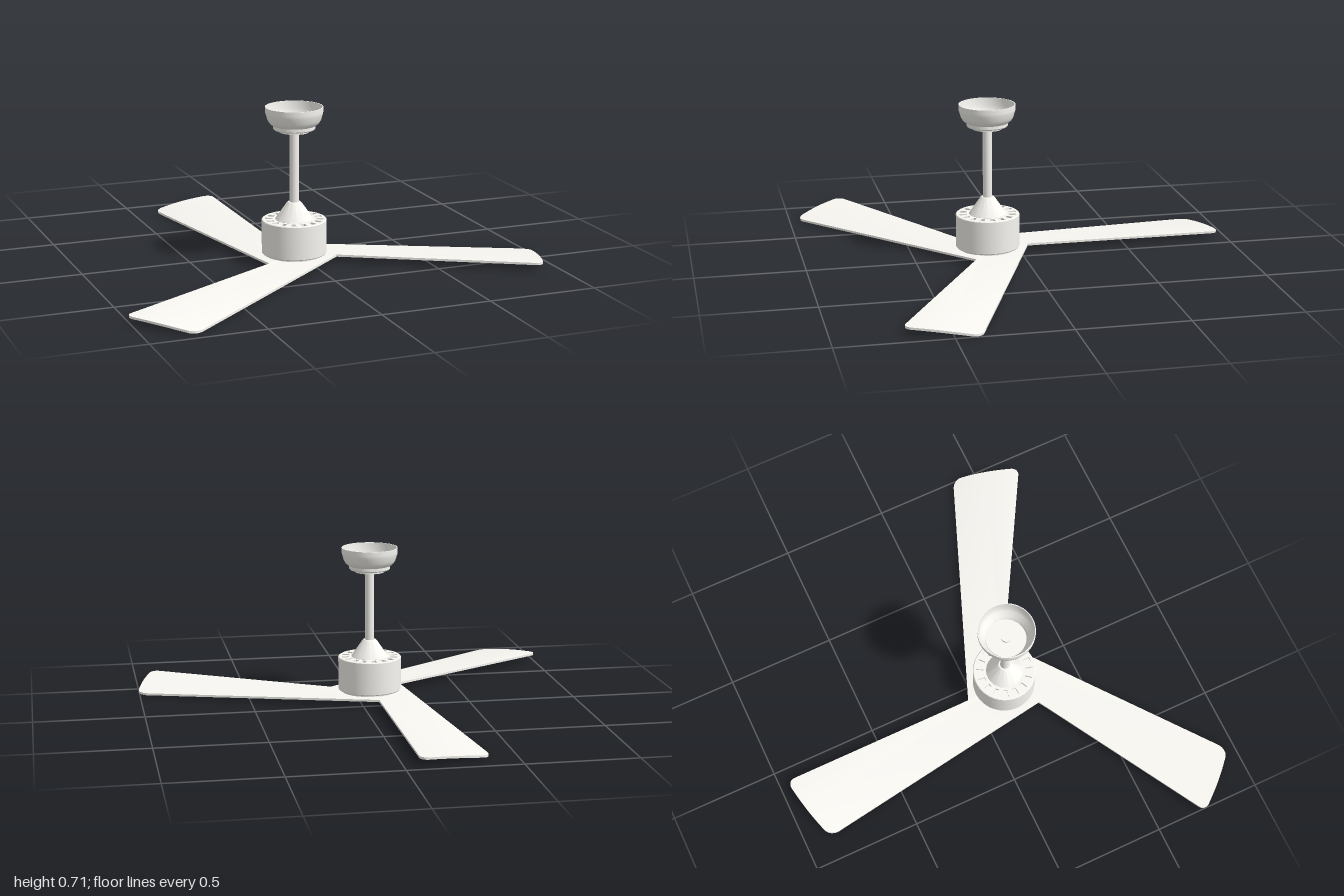
import * as THREE from 'three';
import { toCreasedNormals } from 'three/addons/utils/BufferGeometryUtils.js';

const material = new THREE.MeshStandardMaterial({ color: 0xf8f7f2 });
const lerp = THREE.MathUtils.lerp;

function mesh(name, geometry) {
  const m = new THREE.Mesh(geometry, material);
  m.name = name;
  return m;
}

// Round part from [radius, height] points, listed from the bottom outside upward
function turned(name, points) {
  const lathe = new THREE.LatheGeometry(points.map(p => new THREE.Vector2(...p)), 64);
  return mesh(name, toCreasedNormals(lathe, 0.6));
}

// Blade: a box grid warped into a tapered plan whose left edge droops toward the tip
function bladeGeometry() {
  const rootL = [-0.16, 0.105], rootR = [-0.011, -0.191];
  const tipL = [-0.33, -1.04], tipR = [-0.012, -1.118];
  const round = 0.04, width = 0.33, thickness = 0.01;
  const g = new THREE.BoxGeometry(1, 1, 1, 40, 1, 24);
  const p = g.attributes.position;
  for (let i = 0; i < p.count; i++) {
    // t runs across the blade (dense at the edges), s runs from hub to tip
    const t = 0.5 + 0.5 * Math.sin(p.getX(i) * Math.PI);
    let s = 0.5 - p.getZ(i);
    // rounded tip corners and slightly bowed tip
    const inset = Math.max(0, 1 - Math.min(t, 1 - t) * width / round);
    const end = 1 - round * (1 - Math.sqrt(1 - inset * inset)) + 0.035 * t * (1 - t);
    s *= end;
    // the root is a third of the hub: left corner, centre, right corner
    const k = Math.abs(1 - 2 * t), corner = t < 0.5 ? rootL : rootR;
    const x = lerp(corner[0] * k, lerp(tipL[0], tipR[0], t), s);
    const z = lerp(corner[1] * k, lerp(tipL[1], tipR[1], t), s);
    const droop = 0.028 * s * Math.pow(1 - t, 1.8);
    p.setXYZ(i, x, 0.032 + p.getY(i) * thickness - droop, z);
  }
  g.computeVertexNormals();
  return g;
}

// Ring with radial slots for the top of the motor
function ventGeometry() {
  const shape = new THREE.Shape().absarc(0, 0, 0.14, 0, Math.PI * 2);
  shape.holes.push(new THREE.Path().absarc(0, 0, 0.075, 0, Math.PI * 2, true));
  const slots = 16;
  for (let i = 0; i < slots; i++) {
    const a = i / slots * Math.PI * 2, h = 0.09;
    const slot = new THREE.Path();
    slot.absarc(0, 0, 0.131, a - h, a + h, false);
    slot.absarc(0, 0, 0.098, a + h, a - h, true);
    slot.closePath();
    shape.holes.push(slot);
  }
  const g = new THREE.ExtrudeGeometry(shape, { depth: 0.012, bevelEnabled: false, curveSegments: 24 });
  return g.rotateX(-Math.PI / 2).translate(0, 0.188, 0);
}

export function createModel() {
  const fan = new THREE.Group();
  fan.name = 'ceilingFan';

  // Three blades meeting under the motor
  const blade = bladeGeometry();
  for (let i = 0; i < 3; i++) {
    const b = mesh('blade' + (i + 1), blade);
    b.rotation.y = i * Math.PI * 2 / 3;
    fan.add(b);
  }

  // Motor: neck above the blades, drum, open rim with a floor below the vents
  fan.add(turned('motorHousing', [
    [0, 0.033], [0.13, 0.033], [0.13, 0.044], [0.143, 0.044], [0.146, 0.048],
    [0.146, 0.197], [0.143, 0.2], [0.138, 0.2], [0.138, 0.172], [0, 0.172],
  ]));
  fan.add(mesh('motorVents', ventGeometry()));

  // Cone and hanging rod
  fan.add(turned('rodCone', [
    [0.085, 0.18], [0.085, 0.201], [0.08, 0.208], [0.036, 0.272], [0.028, 0.28], [0, 0.28],
  ]));
  const rod = mesh('downRod', new THREE.CylinderGeometry(0.021, 0.021, 0.36, 32));
  rod.position.y = 0.45;
  fan.add(rod);

  // Hollow ceiling cup, open at the top
  fan.add(turned('ceilingCanopy', [
    [0, 0.6], [0.068, 0.6], [0.068, 0.609], [0.09, 0.611], [0.094, 0.616], [0.094, 0.63],
    [0.1, 0.632], [0.112, 0.643], [0.12, 0.657], [0.124, 0.673], [0.128, 0.684],
    [0.129, 0.694], [0.129, 0.714], [0.125, 0.714], [0.122, 0.68], [0.115, 0.655],
    [0.097, 0.636], [0.09, 0.618], [0, 0.618],
  ]));

  fan.position.set(-0.057, 0, 0.157);
  const model = new THREE.Group();
  model.add(fan);
  return model;
}
